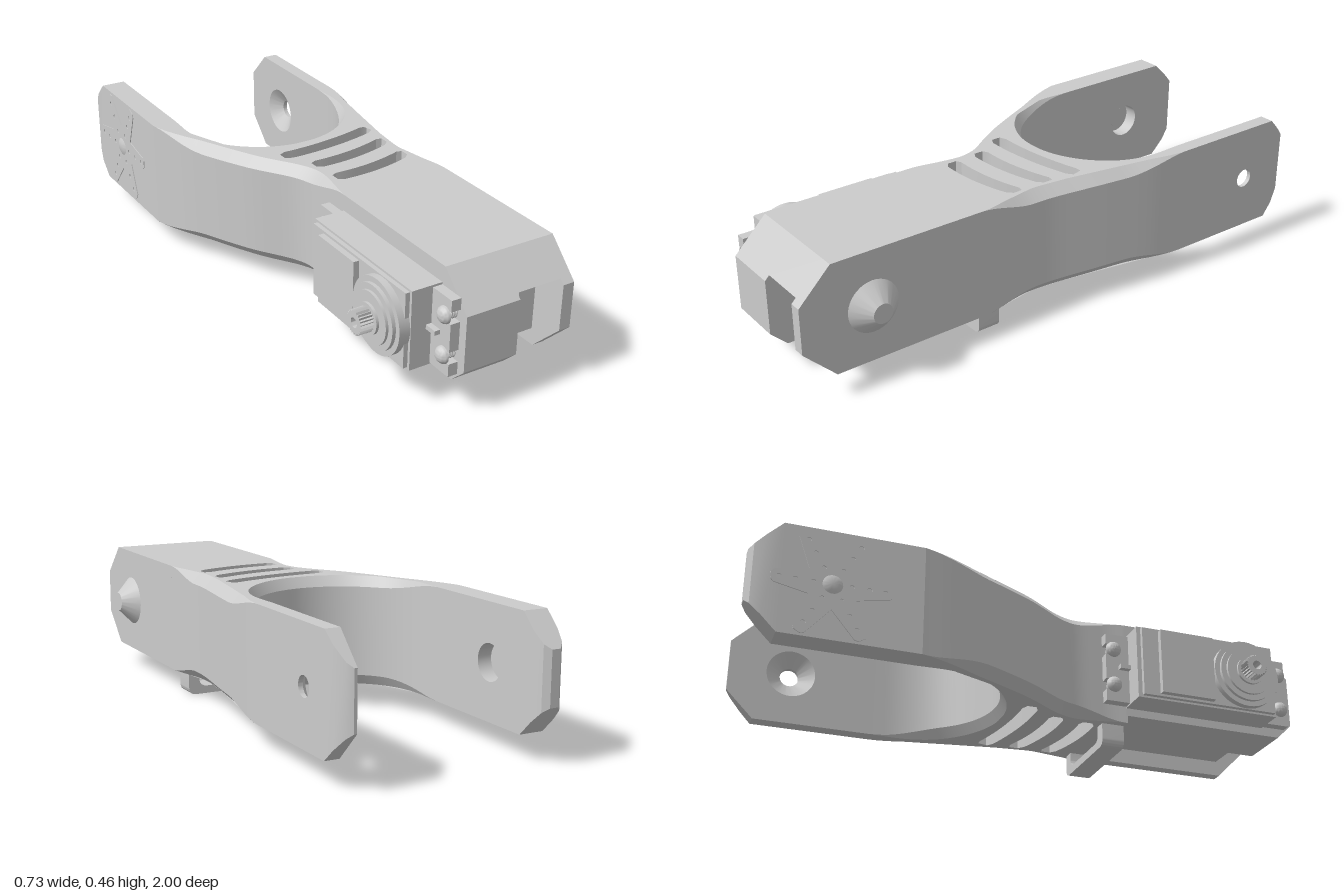
import * as THREE from 'three';
import { toCreasedNormals } from 'three/addons/utils/BufferGeometryUtils.js';

const mat = new THREE.MeshStandardMaterial({ color: 0xcccccc, side: THREE.DoubleSide });
const TOP = 0.455, BOTTOM = 0.08, AXIS_Y = 0.267, HORN_Z = -0.74, SHAFT_Z = 0.755;
const vec = (a) => a.map(([x, y]) => new THREE.Vector2(x, y));

export function createModel() {
  const model = new THREE.Group();
  const add = (name, geo, parent = model) => {
    const mesh = new THREE.Mesh(toCreasedNormals(geo, 0.5), mat);
    mesh.name = name;
    parent.add(mesh);
    return mesh;
  };
  const group = (name) => {
    const g = new THREE.Group();
    g.name = name;
    model.add(g);
    return g;
  };
  const circle = (x, y, r) => new THREE.Path().absarc(x, y, r, 0, Math.PI * 2, true);
  const box = (x0, x1, y0, y1, z0, z1) =>
    new THREE.BoxGeometry(x1 - x0, y1 - y0, z1 - z0).translate((x0 + x1) / 2, (y0 + y1) / 2, (z0 + z1) / 2);
  // side profile of (z, y) points, extruded from x0 to x1
  const prismX = (pts, x0, x1, holes = []) => {
    const s = new THREE.Shape(vec(pts));
    s.holes.push(...holes);
    return new THREE.ExtrudeGeometry(s, { depth: x1 - x0, bevelEnabled: false, curveSegments: 20 })
      .rotateY(-Math.PI / 2).translate(x1, 0, 0);
  };
  const cylX = (r0, r1, x0, x1, y, z, n = 40) =>
    new THREE.CylinderGeometry(r0, r1, x1 - x0, n).rotateZ(Math.PI / 2).translate((x0 + x1) / 2, y, z);
  // rectangular sections [z, x0, x1, y0, y1], from back to front
  const loft = (secs) => {
    const n = secs.length - 1, g = new THREE.BoxGeometry(1, 1, 1, 1, 1, n), p = g.attributes.position;
    for (let i = 0; i < p.count; i++) {
      const [z, x0, x1, y0, y1] = secs[Math.round((p.getZ(i) + 0.5) * n)];
      p.setXYZ(i, p.getX(i) < 0 ? x0 : x1, p.getY(i) < 0 ? y0 : y1, z);
    }
    return g;
  };
  const rect = (z0, z1) => [[z0, BOTTOM], [z1, BOTTOM], [z1, TOP], [z0, TOP]];

  // waist: fork outline with three curved slots, edges chamfered where it narrows
  const spline = (pts) => new THREE.SplineCurve(vec(pts)).getPoints(40);
  const right = spline([[0.31, 0.36], [0.31, 0.2], [0.312, 0.08], [0.34, -0.13], [0.362, -0.32], [0.365, -0.45]]);
  const left = spline([[-0.36, -0.45], [-0.312, -0.27], [-0.21, -0.05], [-0.105, 0.12], [-0.08, 0.26], [-0.08, 0.36]]);
  const inner = [new THREE.Vector2(0.315, -0.45)];
  for (let i = 0; i <= 40; i++) {
    const a = Math.PI * i / 40;
    inner.push(new THREE.Vector2(0.02 + 0.295 * Math.cos(a), -0.4 + 0.315 * Math.sin(a)));
  }
  inner.push(new THREE.Vector2(-0.275, -0.45));
  const waist = new THREE.Shape([...right, ...inner, ...left]);
  for (const [x0, x1, z0, z1] of [[-0.1, 0.28, 0.003, -0.05], [-0.045, 0.265, 0.115, 0.065], [-0.035, 0.265, 0.23, 0.187]]) {
    const c = new THREE.QuadraticBezierCurve(...vec([[x0, z0], [(x0 + x1) / 2, (z0 + z1) / 2 + 0.035], [x1, z1]]));
    const edge = (side) => c.getPoints(16).map((p, i) => {
      const w = 0.027 * (i === 0 || i === 16 ? 0.6 : 1);
      return new THREE.Vector2(p.x, p.y + side * w);
    });
    waist.holes.push(new THREE.Path([...edge(1), ...edge(-1).reverse()]));
  }
  const body = new THREE.ExtrudeGeometry(waist, { depth: 3, steps: 3, bevelEnabled: false }).rotateX(Math.PI / 2);
  const pos = body.attributes.position;
  const onLine = (line, x, z) => line.some((p) => Math.hypot(p.x - x, p.y - z) < 1e-4);
  for (let i = 0; i < pos.count; i++) {
    const x = pos.getX(i), z = pos.getZ(i), k = Math.round(-pos.getY(i));
    const h = 0.035 * THREE.MathUtils.smoothstep(z, -0.45, -0.2) * (1 - THREE.MathUtils.smoothstep(z, 0.15, 0.36));
    let nx = x, nz = z;
    if (k === 0 || k === 3) {
      if (onLine(right, x, z)) nx -= h;
      else if (onLine(left, x, z)) nx += h;
      else if (onLine(inner, x, z)) {
        nx += (x - 0.02) * h * 2;
        nz += (z + 0.4) * h * 2;
      }
    }
    pos.setXYZ(i, nx, [TOP, TOP - h, BOTTOM + h, BOTTOM][k], nz);
  }
  add('waist', body);

  // right-hand arm with countersunk pivot hole
  const idler = group('idlerArm');
  add('idlerPlate', prismX(rect(-0.86, -0.45), 0.315, 0.365, [circle(HORN_Z, AXIS_Y, 0.085)]), idler);
  add('idlerTip', loft([[-0.955, 0.315, 0.325, 0.175, 0.36], [-0.94, 0.315, 0.342, 0.16, 0.375],
    [-0.9, 0.315, 0.359, 0.12, 0.415], [-0.86, 0.315, 0.365, BOTTOM, TOP]]), idler);
  add('countersink', new THREE.LatheGeometry(vec([[0.085, 0.365], [0.033, 0.365], [0.033, 0.35], [0.085, 0.315]]), 40)
    .rotateZ(-Math.PI / 2).translate(0, AXIS_Y, HORN_Z), idler);

  // driven arm with screw recess inside and star horn outside
  const driven = group('drivenArm');
  add('drivenInnerPlate', prismX(rect(-0.9, -0.45), -0.325, -0.275, [circle(HORN_Z, AXIS_Y, 0.06)]), driven);
  add('drivenOuterPlate', prismX(rect(-0.9, -0.45), -0.36, -0.325), driven);
  add('drivenTip', loft([[-1, -0.335, -0.305, 0.18, 0.355], [-0.985, -0.351, -0.285, 0.165, 0.37],
    [-0.95, -0.36, -0.275, 0.13, 0.405], [-0.9, -0.36, -0.275, BOTTOM, TOP]]), driven);
  add('recessScrew', cylX(0.035, 0.035, -0.33, -0.312, AXIS_Y, HORN_Z, 24), driven);
  const star = [], starHoles = [circle(HORN_Z, AXIS_Y, 0.012)];
  for (let i = 0; i < 6; i++) {
    const a = i * Math.PI / 3, c = Math.cos(a), s = Math.sin(a);
    const at = (r, t) => [HORN_Z + r * c - t * s, AXIS_Y + r * s + t * c];
    const len = i % 3 ? 0.2 : 0.19;
    star.push(at(0.075, -0.043), at(len - 0.01, -0.022), at(len, -0.012), at(len, 0.012), at(len - 0.01, 0.022));
    for (const r of [0.06, 0.115, 0.165]) starHoles.push(circle(...at(r, 0), 0.008));
  }
  add('starHorn', prismX(star, -0.363, -0.355, starHoles), driven);
  add('hornBoss', cylX(0.02, 0.034, -0.369, -0.362, AXIS_Y, HORN_Z, 24), driven);

  // servo housing: side cheek, covered part and open cable bay
  const housing = group('servoHousing');
  add('coverBlock', prismX([[0.355, 0.107], [0.945, 0.107], [1, 0.16], [1, 0.345], [0.89, TOP], [0.355, TOP]], -0.08, 0.11), housing);
  add('cableBay', prismX([[0.355, 0.135], [0.88, 0.135], [0.88, 0.36], [0.985, 0.36], [0.89, TOP], [0.355, TOP]], 0.11, 0.27), housing);
  add('sideCheek', prismX([[0.355, BOTTOM], [0.89, BOTTOM], [1, 0.19], [1, 0.345], [0.89, TOP], [0.355, TOP]], 0.27, 0.31), housing);
  add('cablePlug', box(0.19, 0.225, 0.235, 0.3, 0.87, 0.9), housing);
  add('idlerCone', cylX(0.088, 0.033, 0.31, 0.365, AXIS_Y, SHAFT_Z), housing);

  // servo body, stepped output boss and splined shaft
  const servo = group('servo');
  add('servoCase', box(-0.185, -0.07, 0.135, 0.4, 0.355, 0.88), servo);
  add('gearCover', box(-0.2, -0.18, 0.142, 0.393, 0.37, 0.87), servo);
  add('coverPanel', box(-0.22, -0.195, 0.15, 0.385, 0.43, 0.63), servo);
  [[0.123, -0.222], [0.105, -0.234], [0.085, -0.243], [0.05, -0.252]].forEach(([r, x]) =>
    add('outputBoss', cylX(r, r, x, -0.18, AXIS_Y, SHAFT_Z), servo));
  const spline24 = [];
  for (let i = 0; i < 48; i++) {
    const a = i * Math.PI / 24, r = i % 2 ? 0.034 : 0.04;
    spline24.push([SHAFT_Z + r * Math.cos(a), AXIS_Y + r * Math.sin(a)]);
  }
  add('splinedShaft', prismX(spline24, -0.297, -0.25, [circle(SHAFT_Z, AXIS_Y, 0.016)]), servo);

  // slotted mounting ears, each with two screws
  for (const [zIn, zOut, zScrew] of [[0.36, 0.27, 0.298], [0.88, 0.97, 0.942]]) {
    const zMid = zIn + (zScrew - zIn) * 0.7;
    add('mountingEar', prismX([[zIn, 0.14], [zOut, 0.14], [zOut, 0.182], [zMid, 0.182], [zMid, 0.222], [zOut, 0.222],
      [zOut, 0.315], [zMid, 0.315], [zMid, 0.355], [zOut, 0.355], [zOut, 0.393], [zIn, 0.393]], -0.113, -0.08), servo);
    add('earRib', box(-0.132, -0.11, 0.26, 0.275, Math.min(zIn, zMid), Math.max(zIn, zMid)), servo);
    for (const y of [0.202, 0.335]) {
      add('screwHead', new THREE.SphereGeometry(0.028, 20, 8, 0, Math.PI * 2, 0, Math.PI / 2)
        .scale(1, 0.8, 1).rotateZ(Math.PI / 2).translate(-0.113, y, zScrew), servo);
      add('screwCore', cylX(0.013, 0.013, -0.115, -0.075, y, zScrew, 16), servo);
      for (let i = 0; i < 4; i++) {
        add('screwThread', new THREE.TorusGeometry(0.013, 0.004, 6, 20).rotateY(Math.PI / 2)
          .translate(-0.11 + i * 0.009, y, zScrew), servo);
      }
    }
  }

  // strap loop under the housing
  const cup = (P, x0, x1, y0, y1, r) => {
    const p = new P();
    p.moveTo(x0, y1);
    p.lineTo(x0, y0 + r);
    p.quadraticCurveTo(x0, y0, x0 + r, y0);
    p.lineTo(x1 - r, y0);
    p.quadraticCurveTo(x1, y0, x1, y0 + r);
    p.lineTo(x1, y1);
    p.closePath();
    return p;
  };
  const loop = cup(THREE.Shape, -0.05, 0.284, 0, 0.1, 0.028);
  loop.holes.push(cup(THREE.Path, -0.01, 0.244, 0.027, 0.08, 0.03));
  add('strapLoop', new THREE.ExtrudeGeometry(loop, { depth: 0.08, bevelEnabled: false }).translate(0, 0, 0.276));
  return model;
}
